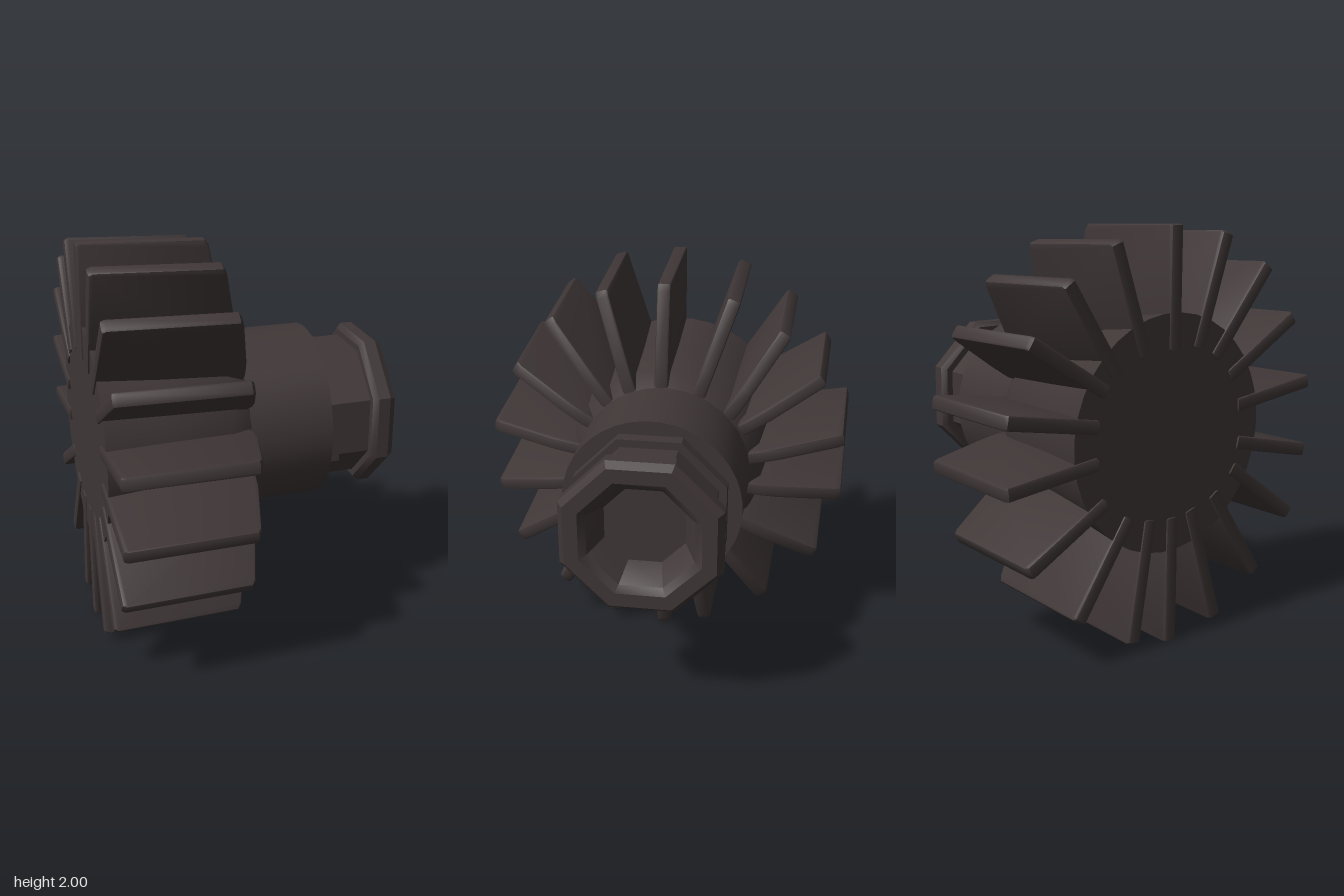
import * as THREE from 'three';
import { toCreasedNormals } from 'three/addons/utils/BufferGeometryUtils.js';

const CENTRE_Y = 1.03, CENTRE_Z = -0.005;

// Each fin: tip z, tip y, root z, root y
const FINS = [
  [0.01, 2.0, 0.01, 1.58], [-0.34, 1.93, -0.215, 1.565], [-0.6, 1.77, -0.41, 1.475],
  [-0.8, 1.535, -0.52, 1.36], [-0.925, 1.215, -0.585, 1.155], [-0.925, 0.89, -0.585, 0.93],
  [-0.81, 0.52, -0.52, 0.685], [-0.54, 0.23, -0.335, 0.54], [-0.22, 0.045, -0.15, 0.485],
  [0.01, 0, 0.01, 0.47], [0.305, 0.055, 0.17, 0.495], [0.58, 0.23, 0.36, 0.565],
  [0.82, 0.495, 0.52, 0.71], [0.915, 0.815, 0.575, 0.89], [0.925, 1.185, 0.575, 1.14],
  [0.8, 1.52, 0.5, 1.345], [0.61, 1.785, 0.365, 1.485], [0.33, 1.95, 0.205, 1.565],
];

export function createModel() {
  const model = new THREE.Group();
  model.name = 'finnedHub';
  const metal = new THREE.MeshStandardMaterial({ color: 0x403737 });
  metal.name = 'dark brown metal';

  function add(name, geometry) {
    const mesh = new THREE.Mesh(geometry, metal);
    mesh.name = name;
    model.add(mesh);
    return mesh;
  }

  // Turned part along x from [x, radius] points; sides with flats are sized by their apothem
  function turned(name, points, sides, apothem = false) {
    const k = apothem ? 1 / Math.cos(Math.PI / sides) : 1;
    const profile = points.map(([x, r]) => new THREE.Vector2(r * k, x));
    const geo = new THREE.LatheGeometry(profile, sides, Math.PI / sides);
    geo.rotateZ(-Math.PI / 2);
    geo.translate(0, CENTRE_Y, CENTRE_Z);
    return add(name, toCreasedNormals(geo, 0.6));
  }

  // Core between the fins, flaring to the flat back
  turned('finCore', [[-0.75, 0], [-0.75, 0.57], [-0.45, 0.53], [-0.12, 0.5], [-0.01, 0.44], [-0.01, 0]], 36);

  // Round collar
  turned('collar', [[-0.05, 0], [-0.05, 0.445], [0.4, 0.445], [0.4, 0]], 40);

  // Eight-sided step, neck and hollow lip
  turned('step', [[0.38, 0], [0.38, 0.372], [0.465, 0.372], [0.465, 0]], 8, true);
  turned('neck', [[0.45, 0], [0.45, 0.333], [0.65, 0.333]], 8, true);
  turned('lip', [
    [0.64, 0.32], [0.64, 0.365], [0.665, 0.388], [0.725, 0.388], [0.76, 0.36],
    [0.76, 0.29], [0.735, 0.255], [0.6, 0.195], [0.6, 0],
  ], 8, true);

  // Radial fins with a sloped front end and bevelled edges
  const bevel = 0.014, thickness = 0.07;
  FINS.forEach(([tz, ty, rz, ry]) => {
    const length = Math.hypot(tz - rz, ty - ry);
    const shape = new THREE.Shape([
      [-0.76, -length - 0.16], [-0.02, -length - 0.16], [-0.02, -length - 0.1],
      [-0.035, -length], [-0.115, -0.05], [-0.135, -0.02], [-0.74, 0], [-0.76, -0.012],
    ].map(([x, s]) => new THREE.Vector2(x, s)));
    const geo = new THREE.ExtrudeGeometry(shape, {
      depth: thickness - 2 * bevel, bevelEnabled: true, bevelSize: bevel,
      bevelThickness: bevel, bevelOffset: -bevel, bevelSegments: 2,
    });
    geo.translate(0, bevel, bevel - thickness / 2);
    geo.rotateX(Math.atan2(tz - rz, ty - ry));
    geo.translate(0, ty - bevel * Math.sign(ty - ry) * 0.5, tz);

    // Fins droop slightly towards the front
    const p = geo.attributes.position;
    for (let i = 0; i < p.count; i++) {
      p.setY(i, Math.max(0, Math.min(2, p.getY(i) - 0.015 * (p.getX(i) + 0.76))));
    }
    add('fin', toCreasedNormals(geo, 0.7));
  });

  return model;
}
